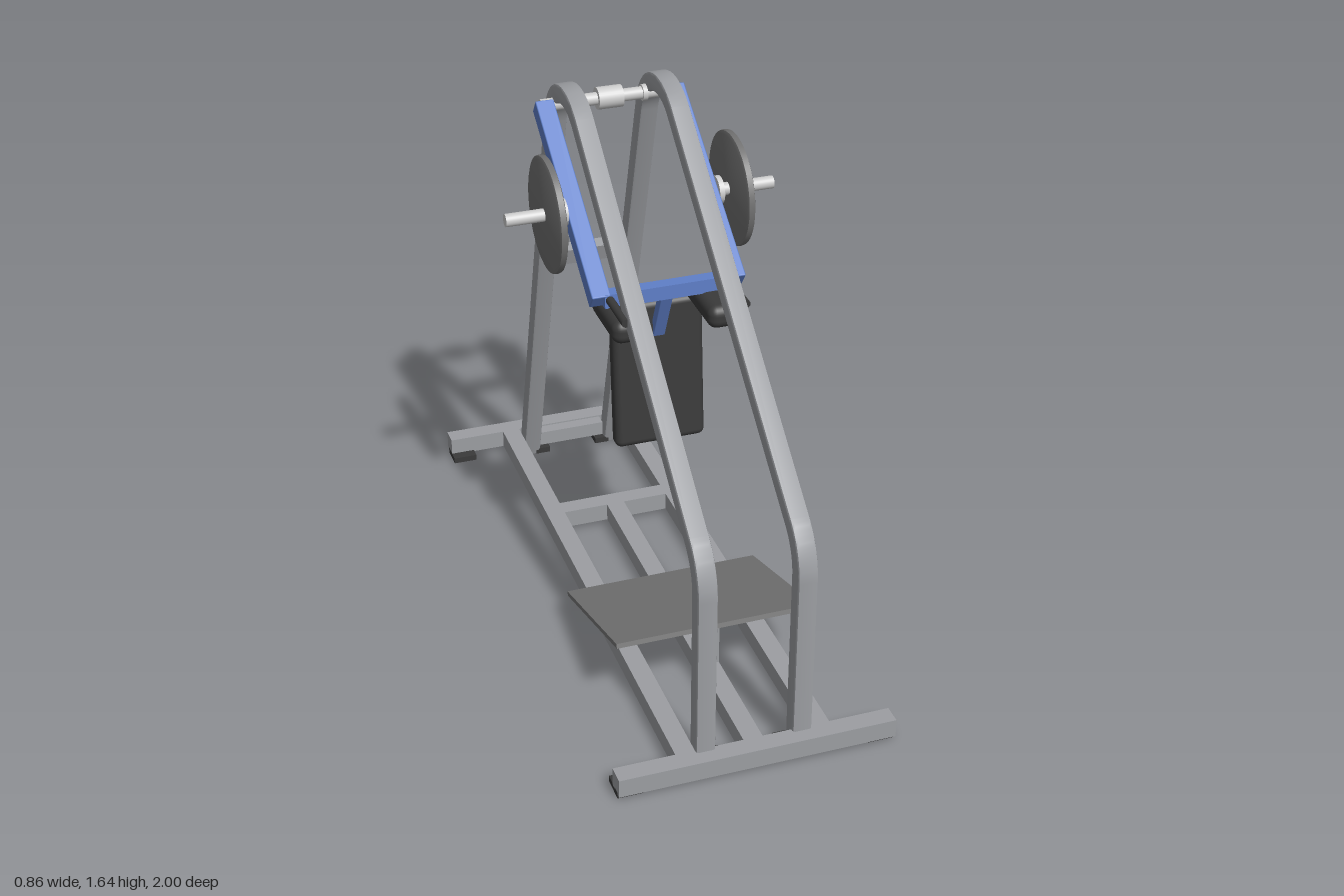
import * as THREE from 'three';
import { toCreasedNormals } from 'three/addons/utils/BufferGeometryUtils.js';
import { RoundedBoxGeometry } from 'three/addons/geometries/RoundedBoxGeometry.js';

const mat = (color) => new THREE.MeshStandardMaterial({ color });
const V2 = (z, y) => new THREE.Vector2(z, y);

export function createModel() {
  const model = new THREE.Group();
  const steel = mat(0x9c9ea2), chrome = mat(0xcccccc), blue = mat(0x5f7fc8);
  const rubber = mat(0x3a3a3a), iron = mat(0x707070), deck = mat(0x777777);

  const add = (name, geometry, material, x = 0, y = 0, z = 0, tilt = 0) => {
    const mesh = new THREE.Mesh(geometry, material);
    mesh.name = name;
    mesh.position.set(x, y, z);
    mesh.rotation.x = tilt;
    model.add(mesh);
    return mesh;
  };
  const box = (name, material, w, h, d, x, y, z, tilt) =>
    add(name, new THREE.BoxGeometry(w, h, d), material, x, y, z, tilt);
  const pad = (name, material, w, h, d, r, x, y, z, tilt) =>
    add(name, new RoundedBoxGeometry(w, h, d, 4, r), material, x, y, z, tilt);
  // Round bar lying along x
  const rod = (name, material, r, length, x, y, z) => {
    const g = new THREE.CylinderGeometry(r, r, length, 32);
    g.rotateZ(Math.PI / 2);
    return add(name, g, material, x, y, z);
  };
  // Bar in the side plane between two (z, y) points
  const strut = (name, material, w, h, a, b, x, r) => {
    const tilt = Math.atan2(a.y - b.y, b.x - a.x);
    const c = a.clone().add(b).multiplyScalar(0.5);
    return pad(name, material, w, h, a.distanceTo(b), r, x, c.y, c.x, tilt);
  };

  // Bent square tube: a polyline with filleted corners, widened and extruded
  const bentTube = (corners, radius, width, bevel) => {
    const pts = [];
    corners.forEach((p, i) => {
      if (i === 0 || i === corners.length - 1) {
        const q = corners[i ? i - 1 : 1];
        const d = (i ? p.clone().sub(q) : q.clone().sub(p)).normalize();
        pts.push({ p, n: V2(-d.y, d.x) });
        return;
      }
      const d1 = p.clone().sub(corners[i - 1]).normalize();
      const d2 = corners[i + 1].clone().sub(p).normalize();
      const turn = Math.atan2(d1.cross(d2), d1.dot(d2)), side = Math.sign(turn);
      const start = p.clone().addScaledVector(d1, -radius * Math.tan(Math.abs(turn) / 2));
      const n1 = V2(-d1.y, d1.x);
      const centre = start.clone().addScaledVector(n1, side * radius);
      for (let k = 0; k <= 16; k++) {
        const n = n1.clone().rotateAround(V2(0, 0), turn * k / 16);
        pts.push({ p: centre.clone().addScaledVector(n, -side * radius), n });
      }
    });
    const half = width / 2 - bevel;
    const edge = (s) => pts.map(({ p, n }) => p.clone().addScaledVector(n, s * half));
    const shape = new THREE.Shape([...edge(1), ...edge(-1).reverse()]);
    const g = new THREE.ExtrudeGeometry(shape, {
      depth: half * 2, bevelEnabled: true, bevelThickness: bevel, bevelSize: bevel, bevelSegments: 2,
    });
    g.translate(0, 0, -half);
    g.rotateY(-Math.PI / 2);
    return toCreasedNormals(g, 0.5);
  };

  // Base frame
  for (const s of [-1, 1]) {
    box(s > 0 ? 'frontCrossbar' : 'rearCrossbar', steel, 0.86, 0.06, 0.06, 0, 0.045, s * 0.97);
    box('baseRail', steel, 0.06, 0.06, 1.88, s * 0.21, 0.045, 0);
    for (const e of [-1, 1]) {
      box('foot', rubber, 0.08, 0.02, 0.08, s * 0.39, 0.01, e * 0.945);
      box('innerFoot', rubber, 0.05, 0.02, 0.07, s * 0.11, 0.01, e * 0.91);
    }
  }
  box('centreRail', steel, 0.06, 0.06, 1.33, 0, 0.045, 0.275);
  box('baseBrace', steel, 0.36, 0.06, 0.06, 0, 0.045, -0.4);
  box('rearSpacer', steel, 0.24, 0.05, 0.045, 0, 0.045, -0.92);

  // Foot platform and its posts
  box('platformFrontPost', steel, 0.06, 0.15, 0.065, 0, 0.15, 0.537);
  box('platformRearPost', steel, 0.06, 0.04, 0.065, 0, 0.09, 0.208);
  box('footPlatform', deck, 0.63, 0.015, 0.535, 0, 0.178, 0.37, -0.297);

  // Bent side frames
  const frame = bentTube(
    [V2(0.925, 0.012), V2(0.925, 0.69), V2(-0.4, 1.749), V2(-0.906, 0.016)], 0.188, 0.06, 0.008);
  for (const s of [-1, 1]) add('sideFrame', frame, steel, s * 0.15);
  box('legBrace', steel, 0.28, 0.06, 0.04, 0, 0.895, -0.667, 0.285);

  // Pivot axle
  rod('pivotAxle', chrome, 0.02, 0.44, 0, 1.553, -0.4);
  rod('pivotSleeve', chrome, 0.035, 0.08, 0, 1.553, -0.4);

  // Weight plate profile, turned round the x axis
  const plate = new THREE.LatheGeometry(
    [V2(0, -0.013), V2(0.168, -0.013), V2(0.178, -0.009), V2(0.18, 0), V2(0.178, 0.009),
      V2(0.168, 0.013), V2(0, 0.013)], 48);
  plate.rotateZ(Math.PI / 2);
  const plateGeometry = toCreasedNormals(plate, 0.5);

  // Swing arms, weights, shoulder pads and grips
  for (const s of [-1, 1]) {
    rod('pivotCollar', chrome, 0.026, 0.015, s * 0.113, 1.553, -0.4);
    strut('swingArm', blue, 0.058, 0.055, V2(-0.4, 1.555), V2(0.168, 1.16), s * 0.211, 0.004);
    rod('weightPeg', chrome, 0.02, 0.19, s * 0.33, 1.34, -0.088);
    rod('pegCollar', chrome, 0.044, 0.016, s * 0.247, 1.34, -0.088);
    add('weightPlate', plateGeometry, iron, s * 0.292, 1.34, -0.088);
    pad('shoulderPad', rubber, 0.12, 0.075, 0.24, 0.03, s * 0.148, 1.107, 0.172);
    const grip = rod('handGrip', rubber, 0.013, 0.17, s * 0.185, 1.168, 0.247);
    grip.rotation.y = Math.PI / 2;
  }
  box('armCrossbar', blue, 0.4, 0.045, 0.042, 0, 1.163, 0.16);

  // Back pad and its bracket
  strut('padBracket', blue, 0.038, 0.03, V2(0.15, 1.15), V2(0.015, 0.85), 0, 0.003);
  strut('backPad', rubber, 0.29, 0.06, V2(0.045, 1.08), V2(0.082, 0.6), 0, 0.022);

  return model;
}
